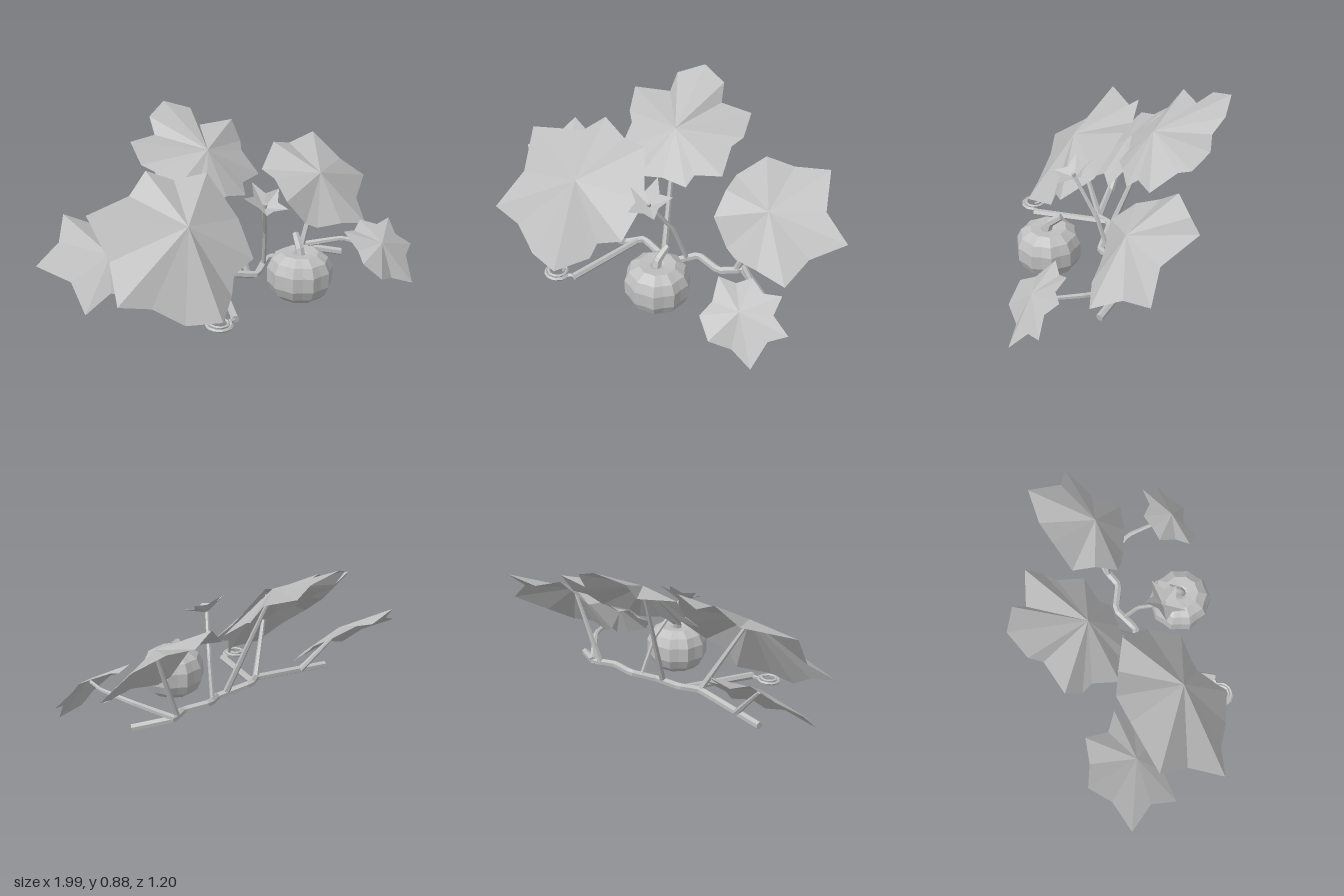
import * as THREE from 'three';

const grey = new THREE.MeshStandardMaterial({ color: 0xbfbfbf, flatShading: true, side: THREE.DoubleSide });
grey.name = 'plain grey';

const V = (x, y, z) => new THREE.Vector3(x, y, z);

function part(name, geometry) {
  const mesh = new THREE.Mesh(geometry, grey);
  mesh.name = name;
  return mesh;
}

// Tapered stem with flat ends: the outer two rings share an end point and the outermost closes the cap
function stem(name, points, r0, r1, segments = 14, sides = 6) {
  const curve = new THREE.CatmullRomCurve3(points, false, 'catmullrom', 0.08);
  const geo = new THREE.TubeGeometry(curve, segments, 1, sides, false);
  const pos = geo.attributes.position, v = V(0, 0, 0);
  for (let i = 0; i <= segments; i++) {
    const t = i <= 1 ? 0 : i >= segments - 1 ? 1 : i / segments;
    const from = curve.getPointAt(i / segments), to = curve.getPointAt(t);
    const radius = i % segments === 0 ? 0 : r0 + (r1 - r0) * t;
    for (let j = 0; j <= sides; j++) {
      const k = i * (sides + 1) + j;
      v.fromBufferAttribute(pos, k).sub(from).multiplyScalar(radius).add(to);
      pos.setXYZ(k, v.x, v.y, v.z);
    }
  }
  geo.computeVertexNormals();
  return part(name, geo);
}

// Folded fan of faces from a centre to a lobed rim
function fan(name, centre, rim) {
  const geo = new THREE.BufferGeometry().setFromPoints([centre, ...rim]);
  geo.setIndex(rim.flatMap((_, i) => [0, 1 + i, 1 + (i + 1) % rim.length]));
  geo.computeVertexNormals();
  return part(name, geo);
}

// Leaf blade with its stalk rising from the vine to just under the centre
function leaf(name, centre, rim, stalk) {
  const group = new THREE.Group();
  group.name = name;
  const top = centre.clone().add(V(0, -0.015, -0.003));
  group.add(fan(name + 'Blade', centre, rim));
  group.add(stem(name + 'Stalk', [...stalk, top], 0.018, 0.009));
  return group;
}

function makeLeaves() {
  const leaves = new THREE.Group();
  leaves.name = 'leaves';

  leaves.add(leaf('largeFrontLeaf', V(-0.417, 0.487, 0.16), [
    V(-0.82, 0.56, -0.11), V(-0.54, 0.578, -0.165), V(-0.417, 0.674, -0.198), V(-0.283, 0.61, -0.144),
    V(-0.128, 0.636, -0.07), V(-0.053, 0.417, 0.09), V(-0.1, 0.267, 0.27), V(-0.235, 0.22, 0.283),
    V(-0.27, 0.128, 0.31), V(-0.42, 0.08, 0.43), V(-0.588, 0.09, 0.36), V(-0.72, 0.187, 0.275),
    V(-0.88, 0.23, 0.235), V(-0.8, 0.37, 0.05),
  ], [V(-0.2, 0.08, 0.05)]));

  // The back leaf is symmetrical about its midrib
  const half = [
    V(0.12, 0.83, -0.545), V(0.134, 0.745, -0.48), V(0.32, 0.755, -0.43), V(0.314, 0.65, -0.345),
    V(0.272, 0.62, -0.285), V(0.279, 0.52, -0.145), V(0.139, 0.51, -0.11), V(0.114, 0.46, -0.055),
  ];
  const mirrored = half.map((p) => V(-0.032 - p.x, p.y, p.z)).reverse();
  leaves.add(leaf('backLeaf', V(-0.016, 0.7, -0.21),
    [V(-0.016, 0.88, -0.605), ...half, V(-0.016, 0.485, -0.053), ...mirrored], [V(0.04, 0.08, 0.05)]));

  leaves.add(leaf('leftLeaf', V(0.59, 0.5, 0.016), [
    V(0.476, 0.636, -0.25), V(0.62, 0.595, -0.28), V(0.807, 0.626, -0.283), V(0.85, 0.5, -0.1),
    V(0.99, 0.385, -0.037), V(0.83, 0.31, 0.064), V(0.76, 0.22, 0.21), V(0.6, 0.25, 0.18),
    V(0.47, 0.24, 0.13), V(0.41, 0.27, 0.1), V(0.315, 0.405, 0.05), V(0.33, 0.5, -0.07), V(0.34, 0.52, -0.19),
  ], [V(0.44, 0.085, 0.03)]));

  leaves.add(leaf('smallFrontLeaf', V(0.62, 0.225, 0.47), [
    V(0.62, 0.305, 0.3), V(0.69, 0.28, 0.36), V(0.79, 0.29, 0.35), V(0.775, 0.22, 0.42),
    V(0.866, 0.15, 0.455), V(0.78, 0.12, 0.5), V(0.735, 0.005, 0.595), V(0.62, 0.05, 0.55),
    V(0.51, 0.085, 0.58), V(0.435, 0.17, 0.515), V(0.47, 0.21, 0.44), V(0.46, 0.29, 0.34), V(0.55, 0.27, 0.33),
  ], [V(0.48, 0.1, 0.01), V(0.595, 0.17, 0.2), V(0.615, 0.185, 0.4)]));

  leaves.add(leaf('smallBackLeaf', V(-0.66, 0.29, -0.17), [
    V(-0.754, 0.445, -0.455), V(-0.63, 0.38, -0.41), V(-0.5, 0.4, -0.39), V(-0.487, 0.31, -0.267),
    V(-0.38, 0.27, -0.2), V(-0.45, 0.2, -0.12), V(-0.43, 0.12, -0.03), V(-0.54, 0.14, -0.02),
    V(-0.6, 0.09, 0.02), V(-0.74, 0.15, -0.05), V(-0.9, 0.09, -0.03), V(-0.89, 0.21, -0.17),
    V(-1, 0.277, -0.31), V(-0.84, 0.345, -0.36),
  ], [V(-0.47, 0.06, -0.05)]));
  return leaves;
}

// Zigzag creeping vine with a side shoot that ends in a coiled tendril
function makeVine() {
  const vine = new THREE.Group();
  vine.name = 'vine';
  vine.add(stem('mainVine', [
    V(-0.63, 0.055, -0.1), V(-0.2, 0.075, 0.05), V(-0.1, 0.09, 0), V(0.085, 0.055, 0.078),
    V(0.22, 0.09, 0.005), V(0.36, 0.08, 0.065), V(0.48, 0.09, 0.02), V(0.64, 0.06, 0.15),
  ], 0.02, 0.02, 48));
  vine.add(stem('sideShoot', [V(-0.13, 0.085, 0.02), V(-0.32, 0.055, 0.4)], 0.018, 0.02));
  const coil = [];
  for (let i = 0; i <= 20; i++) {
    const a = i * Math.PI * 0.2, r = 0.066 - i * 0.0015;
    coil.push(V(-0.42 + r * Math.cos(a), 0.05 + i * 0.001, 0.395 + r * Math.sin(a)));
  }
  vine.add(stem('tendril', [V(-0.32, 0.055, 0.39), ...coil], 0.011, 0.007, 60, 5));
  return vine;
}

// Ribbed pumpkin with a bent stem
function makePumpkin() {
  const pumpkin = new THREE.Group();
  pumpkin.name = 'pumpkin';
  const profile = [[0, 0.04], [0.05, 0.027], [0.105, 0.027], [0.145, 0.06], [0.168, 0.11], [0.168, 0.185],
    [0.145, 0.235], [0.095, 0.267], [0.04, 0.262], [0, 0.245]].map(([r, y]) => new THREE.Vector2(r, y));
  const body = new THREE.LatheGeometry(profile, 20, Math.PI / 10);
  const pos = body.attributes.position;
  for (let i = 0; i < pos.count; i++) {
    const groove = Math.floor(i / profile.length) % 2 ? 0.93 : 1;
    pos.setXYZ(i, pos.getX(i) * groove, pos.getY(i), pos.getZ(i) * groove);
  }
  body.computeVertexNormals();
  pumpkin.add(part('pumpkinBody', body));
  pumpkin.add(stem('pumpkinStem', [V(-0.003, 0.24, 0.008), V(0, 0.29, -0.007), V(0.025, 0.34, -0.067)], 0.026, 0.017));
  pumpkin.position.set(0.14, 0, 0.352);
  return pumpkin;
}

// Five-petalled star flower, tilted forward on its own stalk
function makeFlower() {
  const flower = new THREE.Group();
  flower.name = 'flower';
  const heart = V(0.027, 0.485, 0.2);
  const rim = [];
  for (let i = 0; i < 10; i++) {
    const a = i * Math.PI * 0.2, s = i % 2 ? 0.54 : 1;
    rim.push(V(0.123 * s * Math.sin(a), 0.055 * (i % 2 ? 0.65 : 1) + 0.058 * s * Math.cos(a),
      0.012 - 0.112 * s * Math.cos(a)).add(heart));
  }
  flower.add(fan('petals', heart, rim));
  flower.add(stem('flowerHeart', [heart, V(0.027, 0.51, 0.208)], 0.01, 0.012, 4));
  flower.add(stem('flowerStalk', [V(0.165, 0.085, 0.04), V(0.12, 0.29, 0.1), heart], 0.013, 0.01));
  return flower;
}

export function createModel() {
  const plant = new THREE.Group();
  plant.name = 'pumpkinPlant';
  plant.add(makeLeaves(), makeVine(), makePumpkin(), makeFlower());
  return plant;
}
